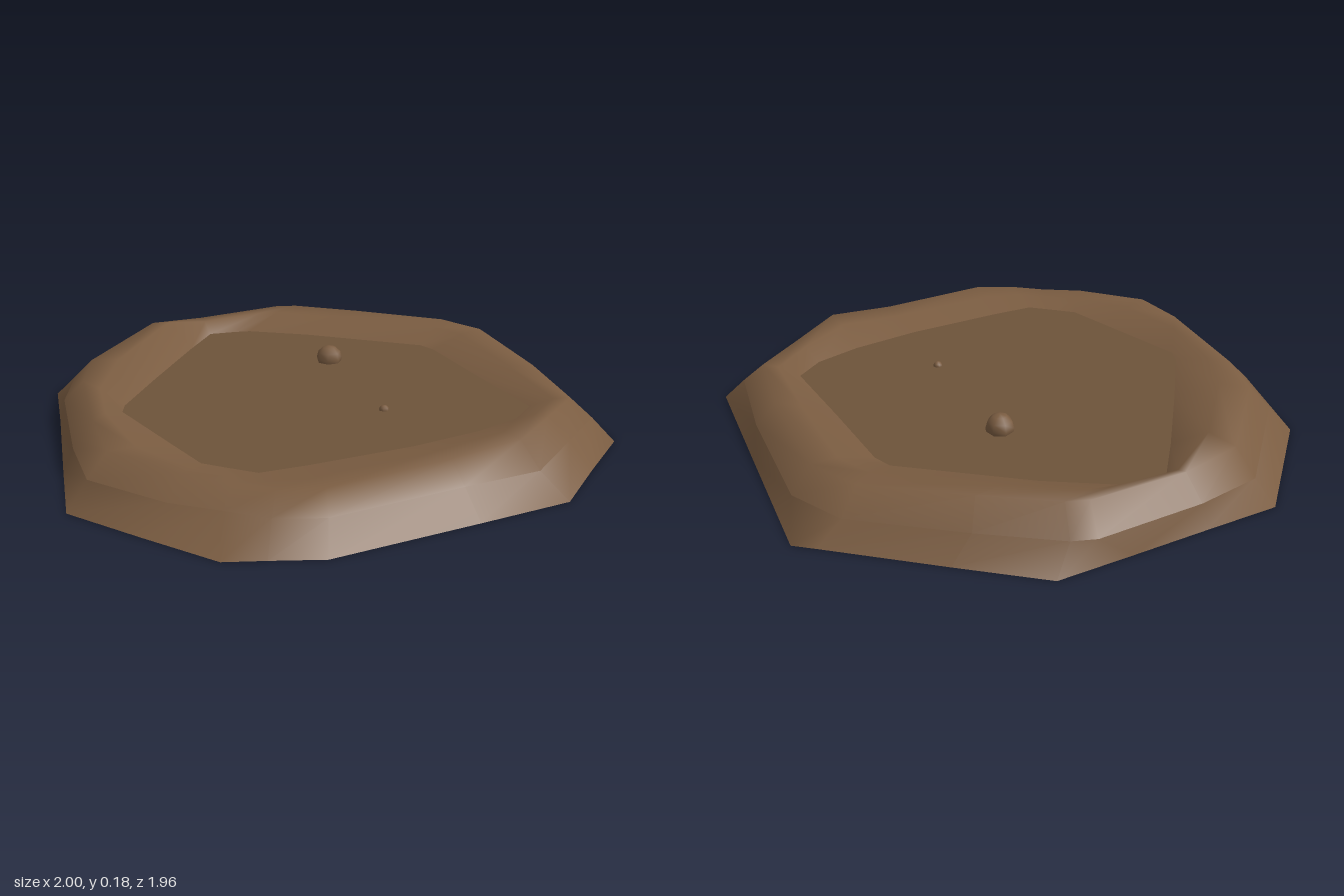
import * as THREE from 'three';

// Stations around the mound: [outer x, z, lip x, z, floor x, z, crest height]
const STATIONS = [
  [-0.25, -0.98, -0.23, -0.91, -0.15, -0.63, 0.16],
  [0, -0.94, 0, -0.91, 0, -0.76, 0.148],
  [0.26, -0.9, 0.36, -0.86, 0.1, -0.73, 0.158],
  [0.51, -0.86, 0.43, -0.82, 0.15, -0.71, 0.158],
  [0.7, -0.63, 0.62, -0.62, 0.32, -0.55, 0.155],
  [0.95, -0.32, 0.87, -0.33, 0.62, -0.2, 0.15],
  [1, -0.26, 0.92, -0.13, 0.63, -0.13, 0.15],
  [0.86, 0.25, 0.8, 0.33, 0.58, 0.18, 0.145],
  [0.73, 0.72, 0.68, 0.66, 0.53, 0.52, 0.14],
  [0.5, 0.85, 0.47, 0.77, 0.42, 0.58, 0.145],
  [0.28, 0.98, 0.24, 0.89, 0.25, 0.6, 0.153],
  [-0.03, 0.95, -0.02, 0.86, 0, 0.59, 0.135],
  [-0.51, 0.9, -0.46, 0.82, -0.35, 0.54, 0.13],
  [-0.65, 0.82, -0.59, 0.74, -0.5, 0.51, 0.125],
  [-0.76, 0.76, -0.68, 0.63, -0.56, 0.43, 0.125],
  [-0.88, 0.52, -0.79, 0.5, -0.61, 0.36, 0.132],
  [-1, 0.27, -0.92, 0.24, -0.62, 0.2, 0.14],
  [-0.9, -0.02, -0.87, 0, -0.64, -0.15, 0.152],
  [-0.76, -0.42, -0.74, -0.42, -0.61, -0.2, 0.143],
  [-0.67, -0.69, -0.62, -0.63, -0.4, -0.4, 0.145],
];
const FLOOR_Y = 0.1;
const LIP_Y = 0.075;
const CREST_SCALE = 0.92;
const N = STATIONS.length;

// Surface through closed rings, listed from the outside inwards
function loft(rings) {
  const index = [];
  for (let r = 0; r < rings.length - 1; r++) {
    for (let i = 0; i < N; i++) {
      const j = (i + 1) % N;
      const a = r * N + i, b = r * N + j, c = a + N, d = b + N;
      index.push(a, c, b, b, c, d);
    }
  }
  return build(rings.flat(), index);
}

// Flat cap over one ring
function cap(ring, y, up) {
  const index = [];
  for (let i = 0; i < N; i++) {
    const j = (i + 1) % N;
    index.push(N, up ? j : i, up ? i : j);
  }
  return build([...ring, [0, y, 0]], index);
}

function build(points, index) {
  const g = new THREE.BufferGeometry();
  g.setAttribute('position', new THREE.Float32BufferAttribute(points.flat(), 3));
  g.setIndex(index);
  g.computeVertexNormals();
  return g;
}

export function createModel() {
  const group = new THREE.Group();
  const soil = new THREE.MeshStandardMaterial({ color: 0x7a5c41 });
  soil.name = 'soil';
  const packedSoil = new THREE.MeshStandardMaterial({ color: 0x6d533a });
  packedSoil.name = 'packed soil';

  const add = (name, geometry, material) => {
    const mesh = new THREE.Mesh(geometry, material);
    mesh.name = name;
    group.add(mesh);
    return mesh;
  };

  const outer = STATIONS.map(s => [s[0], 0, s[1]]);
  const lip = STATIONS.map(s => [s[2], LIP_Y, s[3]]);
  const crest = STATIONS.map(s => [s[2] * CREST_SCALE, s[6], s[3] * CREST_SCALE]);
  const floor = STATIONS.map(s => [s[4], FLOOR_Y, s[5]]);

  // Shoulder of the bank, highest at the back left
  const peaks = { 0: 0.18, [N - 1]: 0.156 };
  const ridge = crest.map(([x, y, z], i) => [
    THREE.MathUtils.lerp(x, floor[i][0], 0.42),
    peaks[i] ?? y - 0.008,
    THREE.MathUtils.lerp(z, floor[i][2], 0.42),
  ]);

  // Sloping foot, bank and underside
  add('skirt', loft([outer, lip]), soil);
  add('bank', loft([lip, crest, ridge, floor]), soil);
  add('underside', cap(outer, 0, false), soil);

  // Flat bed sunk inside the bank
  add('floor', cap(floor, FLOOR_Y, true), packedSoil);

  // Half-buried pebbles
  for (const [name, x, z, r, lift] of [
    ['largePebble', 0.22, -0.23, 0.048, 0.012],
    ['smallPebble', 0.1, 0.29, 0.017, 0],
  ]) {
    const pebble = add(name, new THREE.SphereGeometry(r, 7, 6), soil);
    pebble.position.set(x, FLOOR_Y + lift, z);
  }
  return group;
}
